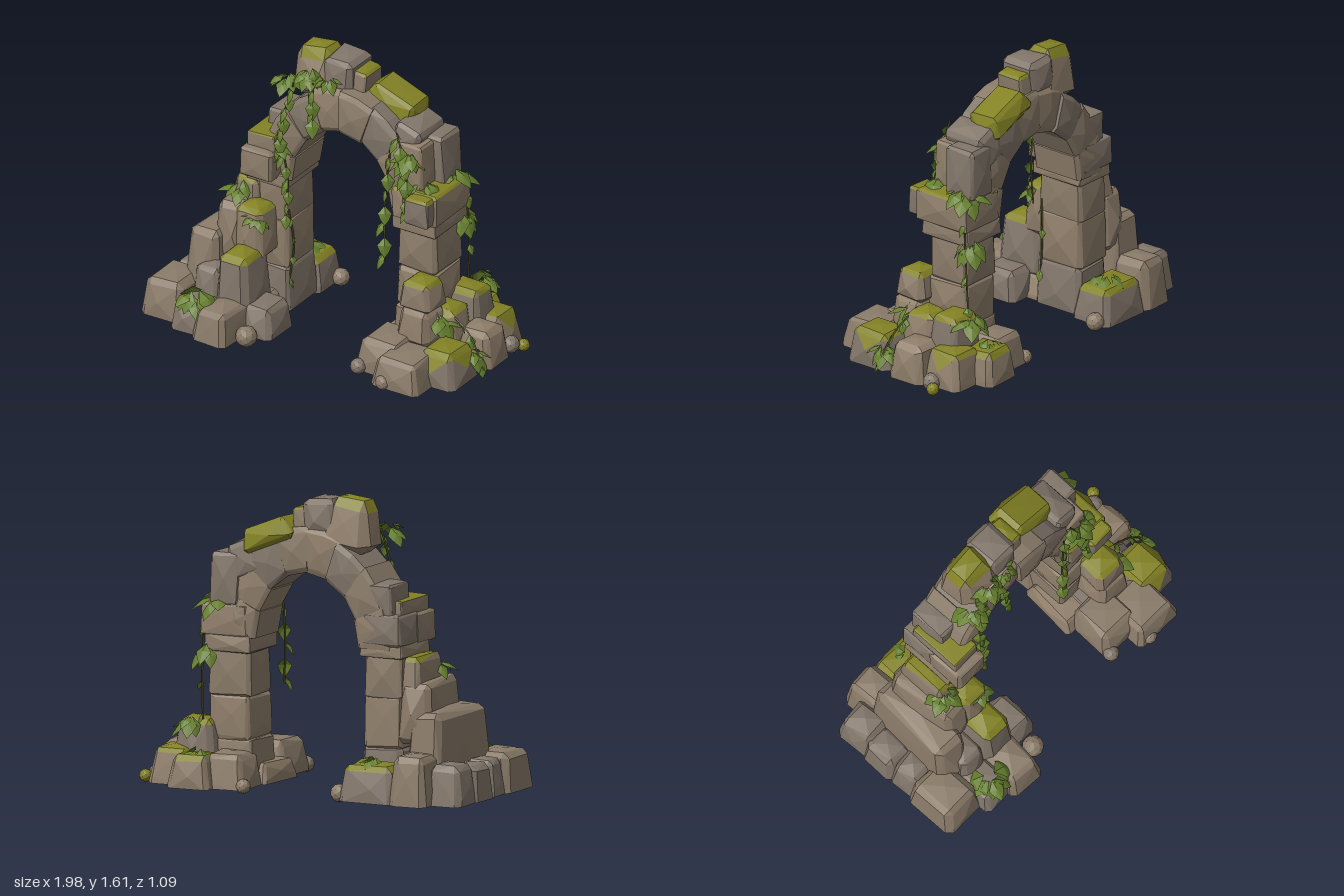
import * as THREE from 'three';
import { ConvexGeometry } from 'three/addons/geometries/ConvexGeometry.js';
import { mergeGeometries } from 'three/addons/utils/BufferGeometryUtils.js';

let seed = 7;
const rnd = () => (seed = (seed * 16807) % 2147483647) / 2147483647;
const mat = (color, side = THREE.FrontSide) => new THREE.MeshStandardMaterial({ color, side, flatShading: true });
const stones = [mat(0x8a7b69), mat(0x8f7e6a), mat(0x82766a)];
const moss = mat(0x838224);
const leafMat = mat(0x667f2e, THREE.DoubleSide);
const vineMat = mat(0x4a4a22);

function add(parent, geometry, material, name) {
  const mesh = new THREE.Mesh(geometry, material);
  mesh.name = name;
  parent.add(mesh);
  return mesh;
}

// Chipped block: chamfered corners, domed faces, narrower top; grounded blocks keep a flat sole
function blockGeometry(w, h, d, taper, bevel, grounded) {
  const pts = [];
  const b = Math.min(w, h, d) * bevel, j = Math.min(w, h, d) * 0.06;
  const put = (x, y, z) => {
    const k = y > 0 ? taper : 1;
    pts.push(new THREE.Vector3(x * k - Math.sign(x) * rnd() * j, y - Math.sign(y) * rnd() * j, z * k - Math.sign(z) * rnd() * j));
  };
  for (const sx of [-1, 1]) for (const sy of [-1, 1]) for (const sz of [-1, 1]) {
    const x = sx * w / 2, y = sy * h / 2, z = sz * d / 2;
    put(x, y - sy * b, z - sz * b);
    put(x - sx * b, y - sy * b, z);
    if (grounded && sy < 0) {
      pts.push(new THREE.Vector3(x, y, z - sz * b), new THREE.Vector3(x - sx * b, y, z));
    } else put(x - sx * b, y, z - sz * b);
  }
  for (const s of [-1, 1]) {
    put(s * (w / 2 + j), (rnd() - 0.6) * h * 0.3, 0);
    put((rnd() - 0.5) * w * 0.3, (rnd() - 0.6) * h * 0.3, s * (d / 2 + j));
  }
  put(0, h / 2 + j, 0);
  return new ConvexGeometry(pts);
}

// The triangles of a geometry that face upward, or all the others
function facing(geometry, up) {
  const pos = geometry.attributes.position.array, nor = geometry.attributes.normal.array;
  const out = [];
  for (let i = 0; i < pos.length; i += 9) if ((nor[i + 1] > 0.45) === up) out.push(...pos.slice(i, i + 9));
  const g = new THREE.BufferGeometry();
  g.setAttribute('position', new THREE.Float32BufferAttribute(out, 3));
  g.computeVertexNormals();
  return g;
}

// Block from its extents; the moss flag turns its upward faces green
function rock(parent, name, [x0, x1, y0, y1, z0, z1, mossy = 0], taper, bevel = 0.15, tilt = 0) {
  const g = new THREE.Group();
  g.name = name;
  const geometry = blockGeometry(x1 - x0, y1 - y0, z1 - z0, taper, bevel, y0 < 0.05);
  const stone = stones[Math.floor(rnd() * 3)];
  add(g, mossy ? facing(geometry, false) : geometry, stone, name + 'Stone');
  if (mossy) add(g, facing(geometry, true), moss, name + 'Moss');
  g.position.set((x0 + x1) / 2, (y0 + y1) / 2, (z0 + z1) / 2);
  g.rotation.set(0, y0 < 0.5 ? (rnd() - 0.5) * 0.14 : 0, tilt);
  parent.add(g);
}

// Broad folded leaf growing along +z and drooping to the tip
function leafGeometry(l) {
  const w = l * 0.34;
  const p = [[0, 0, 0], [-w, -0.04 * l, l * 0.4], [0, 0.08 * l, l * 0.42], [w, -0.04 * l, l * 0.4], [0, -0.12 * l, l],
    [-w * 0.6, -0.06 * l, l * 0.72], [w * 0.6, -0.06 * l, l * 0.72]];
  const tris = [0, 1, 2, 0, 2, 3, 1, 5, 2, 5, 4, 2, 2, 4, 6, 2, 6, 3];
  const g = new THREE.BufferGeometry();
  g.setAttribute('position', new THREE.Float32BufferAttribute(tris.flatMap(i => p[i]), 3));
  g.computeVertexNormals();
  return g;
}

// Spray of leaves fanning out around a heading
function cluster(parent, [x, y, z, heading, count, size]) {
  const geos = [];
  for (let i = 0; i < count; i++) {
    const a = heading + ((i + 0.5) / count - 0.5) * 4 + (rnd() - 0.5) * 0.4;
    const r = size * 0.2;
    geos.push(leafGeometry(size * (0.85 + rnd() * 0.4)).rotateX(0.25 + rnd() * 0.8).rotateY(a)
      .translate(x + Math.sin(a) * r, y + (rnd() - 0.3) * size * 0.5, z + Math.cos(a) * r));
  }
  add(parent, mergeGeometries(geos), leafMat, 'leafCluster');
}

// Thin stem with leaves hanging on alternating sides
function vine(parent, points, count, size, heading = 0) {
  const curve = new THREE.CatmullRomCurve3(points.map(p => new THREE.Vector3(...p)));
  add(parent, new THREE.TubeGeometry(curve, 12, 0.006, 4), vineMat, 'vineStem');
  const geos = [];
  for (let i = 0; i < count; i++) {
    const p = curve.getPoint((i + 0.5) / count);
    geos.push(leafGeometry(size * (0.8 + rnd() * 0.4)).rotateX(0.9 + rnd() * 0.45)
      .rotateY(heading + (i % 2 ? 0.6 : -0.6)).translate(p.x, p.y, p.z));
  }
  add(parent, mergeGeometries(geos), leafMat, 'vineLeaves');
}

export function createModel() {
  seed = 7;
  const model = new THREE.Group();
  model.name = 'ruinedArch';
  const section = name => {
    const g = new THREE.Group();
    g.name = name;
    model.add(g);
    return g;
  };

  // Right and left base rubble: [x0, x1, y0, y1, z0, z1, moss]
  const rightBase = section('rightBase');
  [
    [0.38, 0.84, 0.01, 0.13, -0.42, 0.27],
    [0.32, 0.6, 0.01, 0.2, 0.03, 0.33], [0.48, 0.78, 0.01, 0.18, 0.12, 0.43], [0.66, 0.91, 0.01, 0.21, 0.0, 0.28, 1],
    [0.7, 0.94, 0.01, 0.22, -0.26, -0.03], [0.63, 0.89, 0.01, 0.21, -0.47, -0.22, 1], [0.48, 0.73, 0.01, 0.19, -0.56, -0.32, 1],
    [0.31, 0.56, 0.01, 0.2, -0.49, -0.22], [0.28, 0.46, 0.01, 0.12, -0.24, 0.1], [0.54, 0.79, 0.1, 0.36, -0.38, -0.17, 1],
    [0.46, 0.69, 0.14, 0.36, -0.06, 0.17], [0.47, 0.68, 0.33, 0.51, -0.06, 0.15, 1], [0.54, 0.76, 0.1, 0.33, -0.19, 0.04, 1],
    [0.6, 0.73, 0.01, 0.1, 0.31, 0.43, 1],
  ].forEach(r => rock(rightBase, 'rubble', r, 0.85));

  const leftBase = section('leftBase');
  [
    [-0.87, -0.34, 0.01, 0.14, -0.42, 0.34],
    [-0.97, -0.76, 0.01, 0.23, -0.44, -0.2], [-0.98, -0.79, 0.01, 0.21, -0.25, -0.03], [-0.97, -0.78, 0.01, 0.21, -0.06, 0.13],
    [-0.99, -0.72, 0.01, 0.23, 0.09, 0.41], [-0.76, -0.55, 0.01, 0.17, 0.2, 0.47], [-0.59, -0.37, 0.01, 0.19, 0.2, 0.52],
    [-0.42, -0.22, 0.01, 0.18, 0.07, 0.32], [-0.81, -0.59, 0.01, 0.28, -0.54, -0.28], [-0.62, -0.29, 0.01, 0.21, -0.53, -0.27, 1],
    [-0.83, -0.6, 0.06, 0.49, -0.36, 0.23], [-0.72, -0.51, 0.3, 0.64, -0.32, 0.14], [-0.66, -0.48, 0.55, 0.77, -0.29, 0.04, 1],
    [-0.59, -0.37, 0.1, 0.44, 0.02, 0.32, 1], [-0.58, -0.38, 0.35, 0.66, -0.06, 0.15, 1], [-0.74, -0.56, 0.1, 0.32, 0.08, 0.29],
  ].forEach(r => rock(leftBase, 'rubble', r, 0.87));

  // Loose pebbles: [x, z, radius]
  const pebbles = section('pebbles');
  [[-0.32, 0.39, 0.06], [-0.27, -0.46, 0.05], [0.35, 0.33, 0.045], [0.56, 0.41, 0.045], [0.31, -0.46, 0.04],
    [0.9, -0.31, 0.05], [0.95, -0.36, 0.035], [-0.92, 0.35, 0.06]].forEach(([x, z, r], i) =>
    add(pebbles, new THREE.IcosahedronGeometry(r, 1).translate(x, r * 0.85, z), i === 6 ? moss : stones[i % 3], 'pebble'));

  // Pillars, with their capital blocks
  const pillars = section('pillars');
  [
    [-0.56, -0.31, 0.02, 0.29, -0.31, -0.01], [-0.56, -0.32, 0.26, 0.57, -0.31, -0.01], [-0.56, -0.33, 0.53, 0.8, -0.31, -0.01],
    [-0.57, -0.31, 0.76, 0.84, -0.32, 0.01], [-0.57, -0.36, 0.81, 0.99, -0.15, 0.09], [-0.57, -0.33, 0.82, 1.0, -0.34, -0.1],
    [-0.55, -0.37, 0.97, 1.07, -0.28, 0.04, 1], [-0.51, -0.36, 0.98, 1.16, -0.33, -0.1],
    [0.34, 0.6, 0.02, 0.27, -0.31, -0.02], [0.35, 0.61, 0.24, 0.5, -0.31, -0.02], [0.35, 0.61, 0.47, 0.75, -0.31, -0.03],
    [0.34, 0.62, 0.72, 0.82, -0.33, 0.0], [0.35, 0.65, 0.8, 0.99, -0.33, 0.03, 1], [0.47, 0.63, 0.82, 0.98, -0.1, 0.09, 1],
    [0.41, 0.59, 0.97, 1.26, -0.33, -0.13], [0.37, 0.53, 0.97, 1.24, -0.2, -0.01],
  ].forEach(r => rock(pillars, 'pillarBlock', r, 0.98, 0.07));

  // Ring of wedge stones over the opening
  const arch = section('archRing');
  const count = 8;
  for (let i = 0; i < count; i++) {
    const a0 = Math.PI * i / count, a1 = Math.PI * (i + 1) / count;
    const grow = 0.96 + rnd() * 0.07, zf = -rnd() * 0.035, zb = -0.33 + rnd() * 0.025, sink = 0.97 + rnd() * 0.05;
    const pts = [];
    for (const [a, s] of [[a0 - 0.01, 0], [(a0 + a1) / 2, 1], [a1 + 0.01, 0]])
      for (const [rx, ry, edge] of [[0.32, 0.37, 0], [0.34, 0.4, 1], [0.42, 0.49, 2], [0.5, 0.59, 1], [0.52, 0.62, 0]])
        for (const z of [zf, zb]) {
          const inset = edge === 0 ? 0.02 : edge === 2 && s ? -0.015 : 0;
          const k = rx > 0.4 ? grow : sink;
          pts.push(new THREE.Vector3(0.01 + Math.cos(a) * rx * k, 0.81 + Math.sin(a) * ry * k, z - Math.sign(z + 0.16) * inset + (rnd() - 0.5) * 0.01));
        }
    add(arch, new ConvexGeometry(pts), stones[i % 3], 'wedgeStone');
  }

  // Crown stones, some grown over with moss
  const crown = section('crown');
  rock(crown, 'crownStone', [-0.36, -0.05, 1.3, 1.595, -0.31, -0.06, 1], 0.78, 0.2, 0.12);
  rock(crown, 'crownStone', [-0.15, 0.05, 1.38, 1.585, -0.3, -0.06], 0.95, 0.12, -0.05);
  rock(crown, 'crownStone', [0.01, 0.12, 1.36, 1.53, -0.28, -0.09, 1], 0.9, 0.12, -0.1);
  rock(crown, 'crownStone', [0.3, 0.48, 1.13, 1.33, -0.32, -0.03], 0.95, 0.12, -0.4);
  const slab = add(crown, blockGeometry(0.32, 0.13, 0.22, 0.85, 0.15, false), moss, 'mossSlab');
  slab.position.set(0.25, 1.375, -0.23);
  slab.rotation.z = -0.38;

  // Leaf clusters: [x, y, z, heading, leaves, leaf size]
  const foliage = section('foliage');
  [
    [-0.34, 1.42, -0.04, -0.3, 7, 0.11], [-0.2, 1.48, -0.05, 0, 7, 0.11], [-0.08, 1.46, -0.05, 0.3, 4, 0.09],
    [-0.65, 0.2, 0.38, -0.3, 10, 0.14], [-0.6, 0.72, 0.0, -0.5, 5, 0.1], [-0.44, 0.62, 0.1, 0.2, 5, 0.09],
    [-0.45, 0.21, -0.4, 2.8, 6, 0.11], [-0.37, 1.0, 0.0, 0.3, 4, 0.09],
    [0.45, 1.17, -0.02, 0.1, 7, 0.11], [0.52, 0.99, -0.04, 0.6, 7, 0.11], [0.56, 1.01, -0.26, 1.8, 6, 0.13],
    [0.59, 0.73, -0.32, 2.2, 6, 0.13],
    [0.66, 0.35, -0.39, 2.4, 7, 0.11], [0.67, 0.29, 0.02, 1.4, 7, 0.11], [0.88, 0.12, 0.03, 1.5, 6, 0.1],
    [0.58, 0.21, -0.45, 3, 5, 0.1],
  ].forEach(c => cluster(foliage, c));

  // Hanging vines
  vine(foliage, [[-0.15, 1.45, 0], [-0.14, 1.33, 0.02], [-0.15, 1.22, 0.01]], 4, 0.1);
  vine(foliage, [[-0.27, 1.42, 0], [-0.33, 1.2, 0.01], [-0.35, 1.0, 0.03]], 7, 0.1);
  vine(foliage, [[-0.33, 1.02, 0.02], [-0.3, 0.8, 0.01], [-0.32, 0.58, 0.01]], 6, 0.09);
  vine(foliage, [[-0.33, 0.62, -0.04], [-0.31, 0.4, -0.06], [-0.33, 0.15, -0.03]], 4, 0.06, 1.2);
  vine(foliage, [[0.38, 1.3, 0], [0.45, 1.1, 0.02], [0.48, 0.88, 0.04]], 9, 0.11);
  vine(foliage, [[0.34, 1.2, 0], [0.31, 0.85, 0.01], [0.31, 0.52, 0.01]], 7, 0.1);
  vine(foliage, [[0.62, 0.95, -0.3], [0.63, 0.65, -0.32], [0.62, 0.3, -0.33]], 4, 0.08, 1.8);
  vine(foliage, [[0.68, 0.32, -0.02], [0.84, 0.22, 0], [0.95, 0.05, 0.03]], 5, 0.08, 1.5);
  return model;
}
